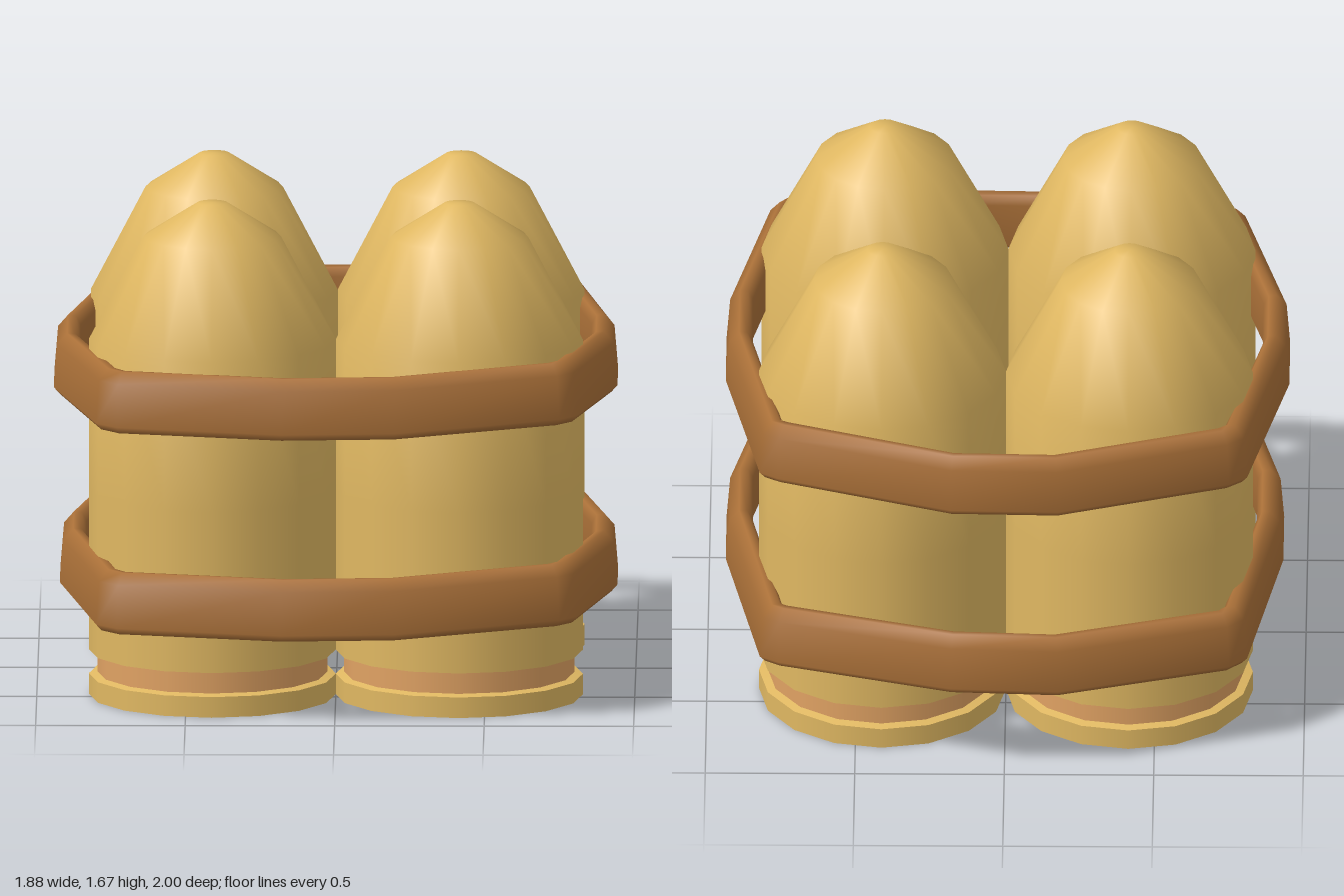
import * as THREE from 'three';

const brass = new THREE.MeshStandardMaterial({ name: 'brass', color: 0xe0b862 });
const copper = new THREE.MeshStandardMaterial({ name: 'copper', color: 0xe0a263 });
const leather = new THREE.MeshStandardMaterial({ name: 'leather', color: 0xaa7038 });

const R = 0.413;

function lathe(name, profile, material) {
  const pts = profile.map(([r, y]) => new THREE.Vector2(r, y));
  const mesh = new THREE.Mesh(new THREE.LatheGeometry(pts, 16), material);
  mesh.name = name;
  return mesh;
}

// One round: rim, recessed groove, case with pointed nose
function createRound() {
  const g = new THREE.Group();
  g.name = 'round';
  g.add(
    lathe('base', [[0, 0], [R, 0]], brass),
    lathe('rim', [[R, 0], [R, 0.07]], brass),
    lathe('rimLedge', [[R, 0.07], [0.385, 0.077]], brass),
    lathe('groove', [[0.385, 0.077], [0.385, 0.148]], copper),
    lathe('grooveLedge', [[0.385, 0.148], [R, 0.152]], copper),
    lathe('case', [[R, 0.152], [R, 0.7], [R, 1.21], [0.23, 1.56], [0.05, 1.675], [0, 1.675]], brass)
  );
  return g;
}

// Strap cross-section: u is outward, v is up
const section = [
  [-0.02, -0.103], [0, -0.08], [-0.012, 0.065], [-0.045, 0.103],
  [-0.072, 0.1], [-0.088, 0.07], [-0.088, -0.08], [-0.068, -0.1],
];

// Closed strap swept round a loop of outer points [x, y, z]
function createStrap(name, loop) {
  const n = loop.length, m = section.length;
  const pos = [], idx = [];
  const normal = (a, b) => new THREE.Vector2(-(b[2] - a[2]), b[0] - a[0]).normalize();
  loop.forEach((p, i) => {
    const n0 = normal(loop[(i + n - 1) % n], p);
    const n1 = normal(p, loop[(i + 1) % n]);
    const miter = n0.clone().add(n1).normalize();
    miter.divideScalar(miter.dot(n1));
    section.forEach(([u, v], j) => {
      pos.push(p[0] + miter.x * u, p[1] + v, p[2] + miter.y * u);
      const i2 = (i + 1) % n, j2 = (j + 1) % m;
      const a = i * m + j, b = i2 * m + j, c = i2 * m + j2, d = i * m + j2;
      idx.push(a, b, c, a, c, d);
    });
  });
  const geo = new THREE.BufferGeometry();
  geo.setAttribute('position', new THREE.Float32BufferAttribute(pos, 3));
  geo.setIndex(idx);
  geo.computeVertexNormals();
  const mesh = new THREE.Mesh(geo, leather);
  mesh.name = name;
  return mesh;
}

export function createModel() {
  const model = new THREE.Group();
  model.name = 'bundle';

  // Four rounds in a square
  for (const x of [-R, R]) {
    for (const z of [-0.405, 0.45]) {
      const round = createRound();
      round.position.set(x, 0, z);
      model.add(round);
    }
  }

  // Two slightly uneven straps
  model.add(createStrap('upperStrap', [
    [0.18, 1.085, -1], [-0.18, 1.08, -1], [-0.75, 1.085, -0.81], [-0.81, 1.085, -0.76],
    [-0.945, 1.08, -0.1], [-0.945, 1.075, 0.2], [-0.8, 1.075, 0.82], [-0.73, 1.07, 0.87],
    [-0.18, 1.065, 0.97], [0.2, 1.07, 0.97], [0.75, 1.1, 0.87], [0.81, 1.1, 0.8],
    [0.94, 1.085, 0.2], [0.94, 1.085, -0.1], [0.82, 1.1, -0.77], [0.76, 1.1, -0.81],
  ]));
  model.add(createStrap('lowerStrap', [
    [0.18, 0.405, -1], [-0.18, 0.395, -1], [-0.75, 0.39, -0.81], [-0.81, 0.395, -0.76],
    [-0.925, 0.41, -0.1], [-0.925, 0.41, 0.2], [-0.8, 0.39, 0.82], [-0.73, 0.385, 0.87],
    [-0.18, 0.385, 0.995], [0.2, 0.39, 0.995], [0.75, 0.415, 0.87], [0.81, 0.415, 0.8],
    [0.94, 0.405, 0.2], [0.94, 0.405, -0.1], [0.82, 0.4, -0.77], [0.76, 0.4, -0.81],
  ]));
  return model;
}
